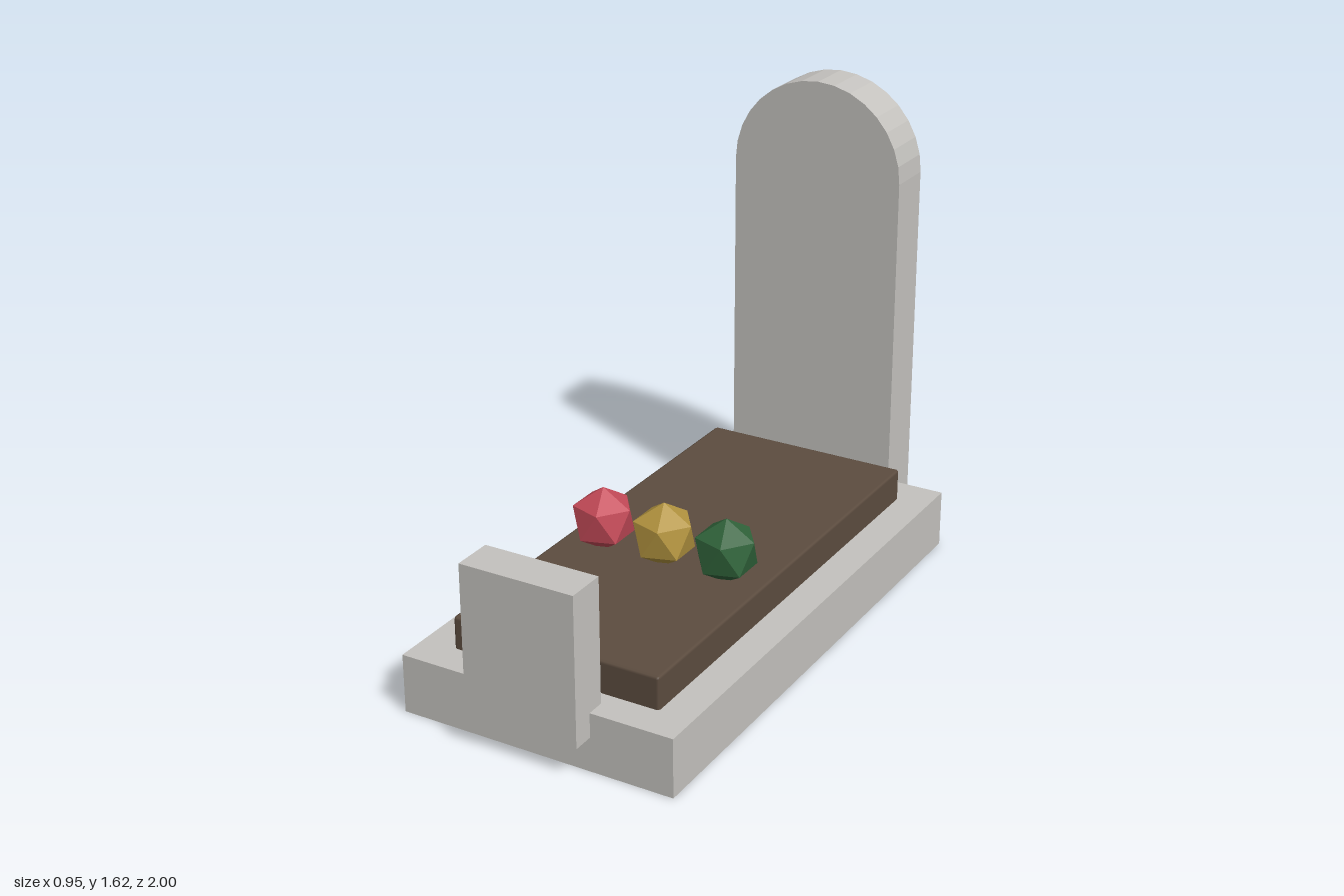
import * as THREE from 'three';
import { RoundedBoxGeometry } from 'three/addons/geometries/RoundedBoxGeometry.js';

const material = (name, color) => {
  const m = new THREE.MeshStandardMaterial({ color });
  m.name = name;
  return m;
};

export function createModel() {
  const group = new THREE.Group();
  group.name = 'grave';
  const stone = material('stone', 0xc4c2be);
  const soil = material('soil', 0x5c4c3f);

  const add = (name, geometry, mat, x, y, z) => {
    const mesh = new THREE.Mesh(geometry, mat);
    mesh.name = name;
    mesh.position.set(x, y, z);
    group.add(mesh);
    return mesh;
  };

  // Stone plinth and the soil bed with softened edges
  add('plinth', new THREE.BoxGeometry(0.95, 0.198, 1.844), stone, 0, 0.099, 0.005);
  add('soilBed', new RoundedBoxGeometry(0.724, 0.13, 1.618, 1, 0.01), soil, 0, 0.243, 0.006);

  // Headstone slab with a faceted half-round top
  const outline = new THREE.Shape();
  outline.moveTo(-0.307, 0.145);
  outline.lineTo(0.307, 0.145);
  outline.lineTo(0.307, 1.316);
  outline.absarc(0, 1.316, 0.307, 0, Math.PI, false);
  outline.closePath();
  const slab = new THREE.ExtrudeGeometry(outline, { depth: 0.167, bevelEnabled: false, curveSegments: 8 });
  add('headstone', slab, stone, 0, 0, -1);

  // Footstone
  add('footstone', new THREE.BoxGeometry(0.39, 0.5, 0.135), stone, 0, 0.366, 0.9325);

  // Row of faceted flowers, each turned with one point up
  const flower = new THREE.IcosahedronGeometry(0.11, 0);
  flower.rotateZ(-Math.atan2(0.526, 0.851));
  [
    ['redFlower', 0xc44a58],
    ['yellowFlower', 0xb3943f],
    ['greenFlower', 0x30633a],
  ].forEach(([name, color], i) => {
    const mat = material(name.replace('Flower', ''), color);
    add(name, flower, mat, (i - 1) * 0.225, 0.397, 0.174);
  });

  return group;
}
